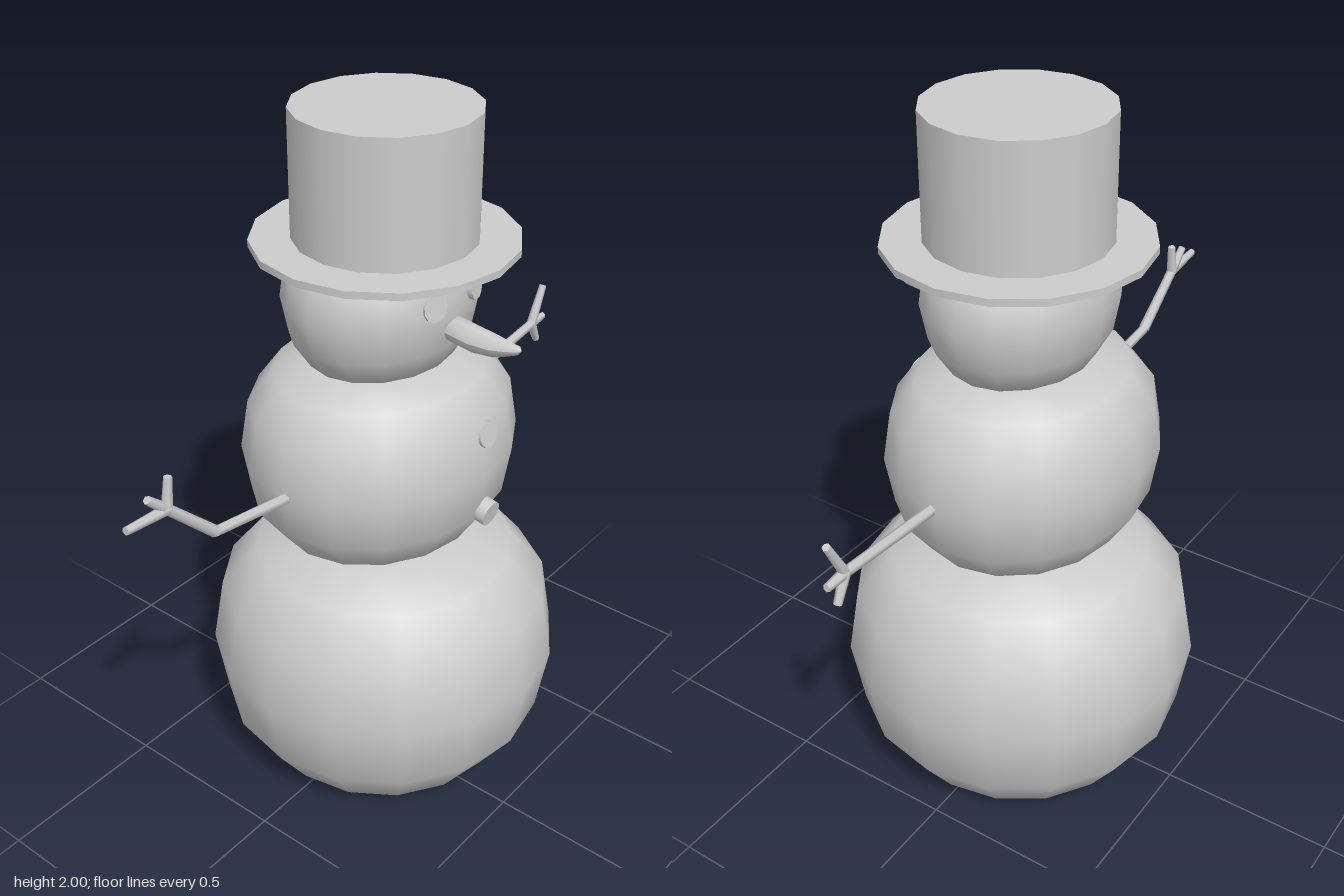
import * as THREE from 'three';

const material = new THREE.MeshStandardMaterial({ color: 0xcccccc });
const CZ = -0.055; // the body axis sits slightly off centre

export function createModel() {
  const model = new THREE.Group();

  function add(parent, name, geometry) {
    const mesh = new THREE.Mesh(geometry, material);
    mesh.name = name;
    parent.add(mesh);
    return mesh;
  }

  // Squashed snowball: profile of [radius factor, height], lathed and stretched to an oval
  function snowball(name, x, rx, rz, profile) {
    const points = profile.map(([r, y]) => new THREE.Vector2(r, y));
    const ball = add(model, name, new THREE.LatheGeometry(points, 16));
    ball.position.set(x, 0, CZ);
    ball.scale.set(rx, 1, rz);
  }
  snowball('lowerSnowball', 0, 0.508, 0.508, [
    [0, 0], [0.4, 0.008], [0.73, 0.04], [0.935, 0.19], [1, 0.39],
    [0.935, 0.585], [0.73, 0.71], [0.4, 0.765], [0, 0.78],
  ]);
  snowball('middleSnowball', -0.015, 0.36, 0.415, [
    [0, 0.74], [0.52, 0.765], [0.76, 0.82], [0.94, 0.92], [1, 1.06],
    [0.94, 1.2], [0.76, 1.29], [0.48, 1.33], [0, 1.34],
  ]);
  snowball('head', -0.01, 0.244, 0.298, [
    [0, 1.29], [0.45, 1.305], [0.76, 1.335], [0.93, 1.41], [1, 1.51],
    [0.95, 1.6], [0.8, 1.65], [0, 1.655],
  ]);

  // Top hat
  const hat = new THREE.Group();
  hat.name = 'hat';
  hat.position.set(0, 0, CZ);
  model.add(hat);
  add(hat, 'brim', new THREE.CylinderGeometry(0.354, 0.354, 0.02, 16)).position.y = 1.65;
  add(hat, 'crown', new THREE.CylinderGeometry(0.245, 0.245, 0.345, 16)).position.y = 1.8275;

  // Carrot nose: lathed along +x with a slight sag
  const carrot = [[0, 0], [0.036, 0.01], [0.036, 0.08], [0.03, 0.14], [0.02, 0.18], [0.012, 0.21], [0, 0.22]];
  const noseGeometry = new THREE.LatheGeometry(carrot.map(([r, y]) => new THREE.Vector2(r, y)), 10);
  noseGeometry.rotateZ(-Math.PI / 2);
  const p = noseGeometry.attributes.position;
  for (let i = 0; i < p.count; i++) {
    p.setY(i, p.getY(i) - 0.012 * Math.sin((p.getX(i) / 0.22) * Math.PI));
  }
  noseGeometry.computeVertexNormals();
  add(model, 'nose', noseGeometry).position.set(0.21, 1.463, CZ);

  // Coal discs facing outwards, tilted by pitch (up) and yaw (towards +z)
  function coal(name, x, y, z, pitch, yaw) {
    const disc = add(model, name, new THREE.CylinderGeometry(0.037, 0.037, 0.035, 12));
    const normal = new THREE.Vector3(1, Math.tan(pitch), Math.tan(yaw)).normalize();
    disc.quaternion.setFromUnitVectors(new THREE.Vector3(0, 1, 0), normal);
    disc.position.set(x, y, z);
  }
  coal('leftEye', 0.208, 1.545, -0.143, 0.15, -0.25);
  coal('rightEye', 0.208, 1.545, 0.022, 0.15, 0.25);
  coal('upperButton', 0.315, 1.173, -0.075, 0.22, 0);
  coal('lowerButton', 0.335, 0.935, -0.075, -0.18, 0);

  // Twig arms: straight tapering sticks between joints
  function twig(parent, name, from, to, r0, r1) {
    const a = new THREE.Vector3(...from);
    const b = new THREE.Vector3(...to);
    const direction = b.clone().sub(a);
    const stick = add(parent, name, new THREE.CylinderGeometry(r1, r0, direction.length(), 6));
    stick.position.copy(a).lerp(b, 0.5);
    stick.quaternion.setFromUnitVectors(new THREE.Vector3(0, 1, 0), direction.normalize());
  }
  function arm(name, joints, fingers) {
    const group = new THREE.Group();
    group.name = name;
    model.add(group);
    for (let i = 1; i < joints.length; i++) {
      twig(group, 'armStick', joints[i - 1], joints[i], 0.016, 0.014);
    }
    const palm = joints[joints.length - 1];
    fingers.forEach((tip) => twig(group, 'finger', palm, tip, 0.015, 0.011));
  }
  arm('rightArm',
    [[-0.004, 1.045, 0.28], [-0.004, 1.092, 0.61], [-0.013, 1.23, 0.752]],
    [[-0.01, 1.24, 0.885], [-0.014, 1.285, 0.81], [-0.014, 1.315, 0.74]]);
  arm('leftArm',
    [[-0.004, 1.053, -0.38], [-0.02, 1.097, -0.815]],
    [[-0.022, 1.208, -0.872], [-0.024, 1.098, -0.885], [-0.024, 1.028, -0.854]]);

  return model;
}
